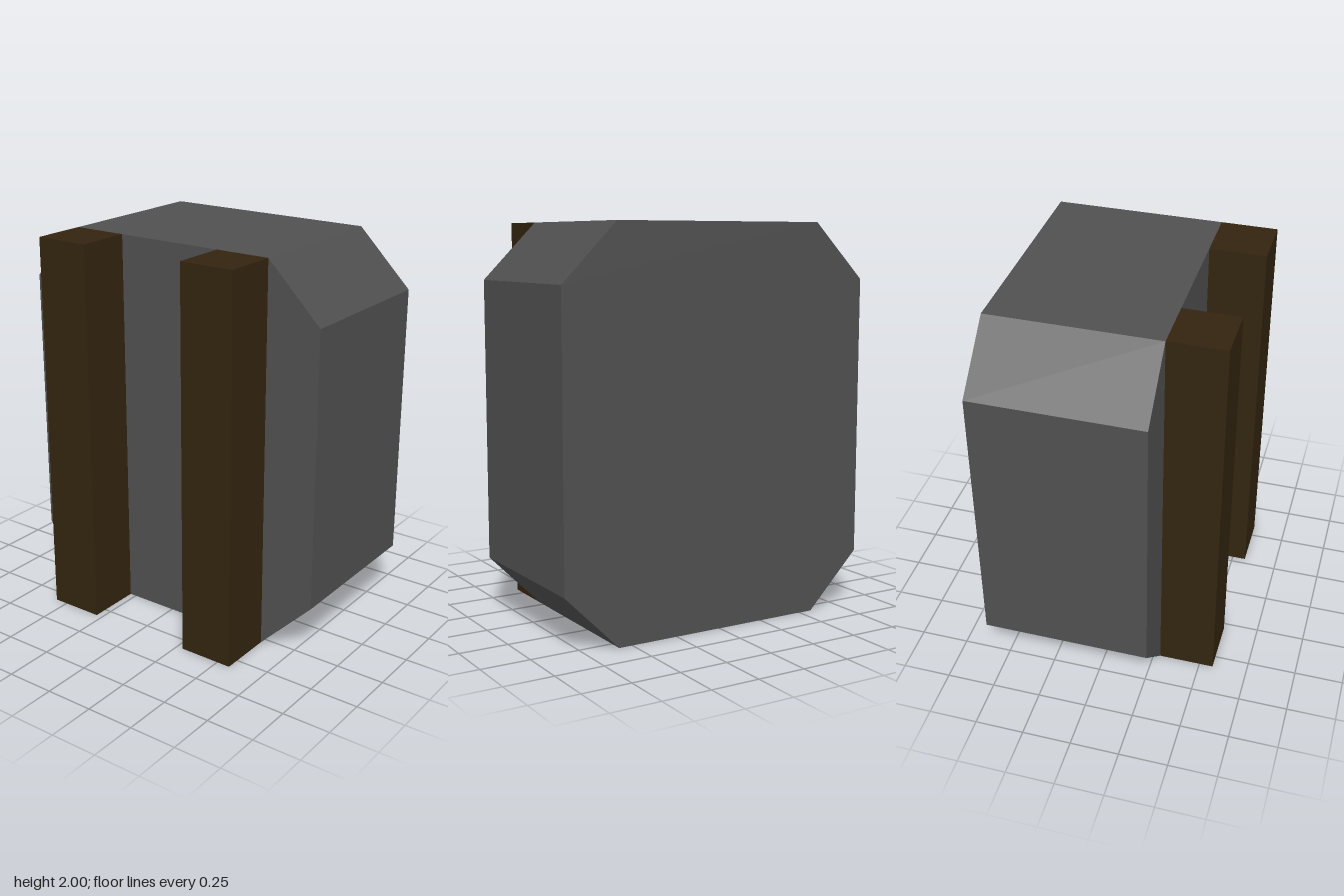
import * as THREE from 'three';

const U = 2 / 7; // grid unit: the model is 7 units tall

export function createModel() {
  const model = new THREE.Group();
  model.name = 'chamferedBlockOnPosts';

  const stone = new THREE.MeshStandardMaterial({ color: 0x505050 });
  stone.name = 'dark grey stone';
  const wood = new THREE.MeshStandardMaterial({ color: 0x33240f });
  wood.name = 'dark brown wood';

  // Block: an octagonal side profile extruded across x
  const w = 3 * U, h = 7 * U, c = U;
  const profile = new THREE.Shape([
    [-w + c, 0], [w - c, 0], [w, c], [w, h - c],
    [w - c, h], [-w + c, h], [-w, h - c], [-w, c],
  ].map(([x, y]) => new THREE.Vector2(x, y)));
  const blockGeometry = new THREE.ExtrudeGeometry(profile, { depth: 3 * U, bevelEnabled: false });
  blockGeometry.rotateY(Math.PI / 2);
  const block = new THREE.Mesh(blockGeometry, stone);
  block.name = 'block';
  block.position.x = -U;
  model.add(block);

  // Two upright posts against the block's right side
  const postGeometry = new THREE.BoxGeometry(U, h, U);
  for (const [name, side] of [['frontPost', 1], ['backPost', -1]]) {
    const post = new THREE.Mesh(postGeometry, wood);
    post.name = name;
    post.position.set(-1.5 * U, h / 2, side * 1.5 * U);
    model.add(post);
  }

  return model;
}
